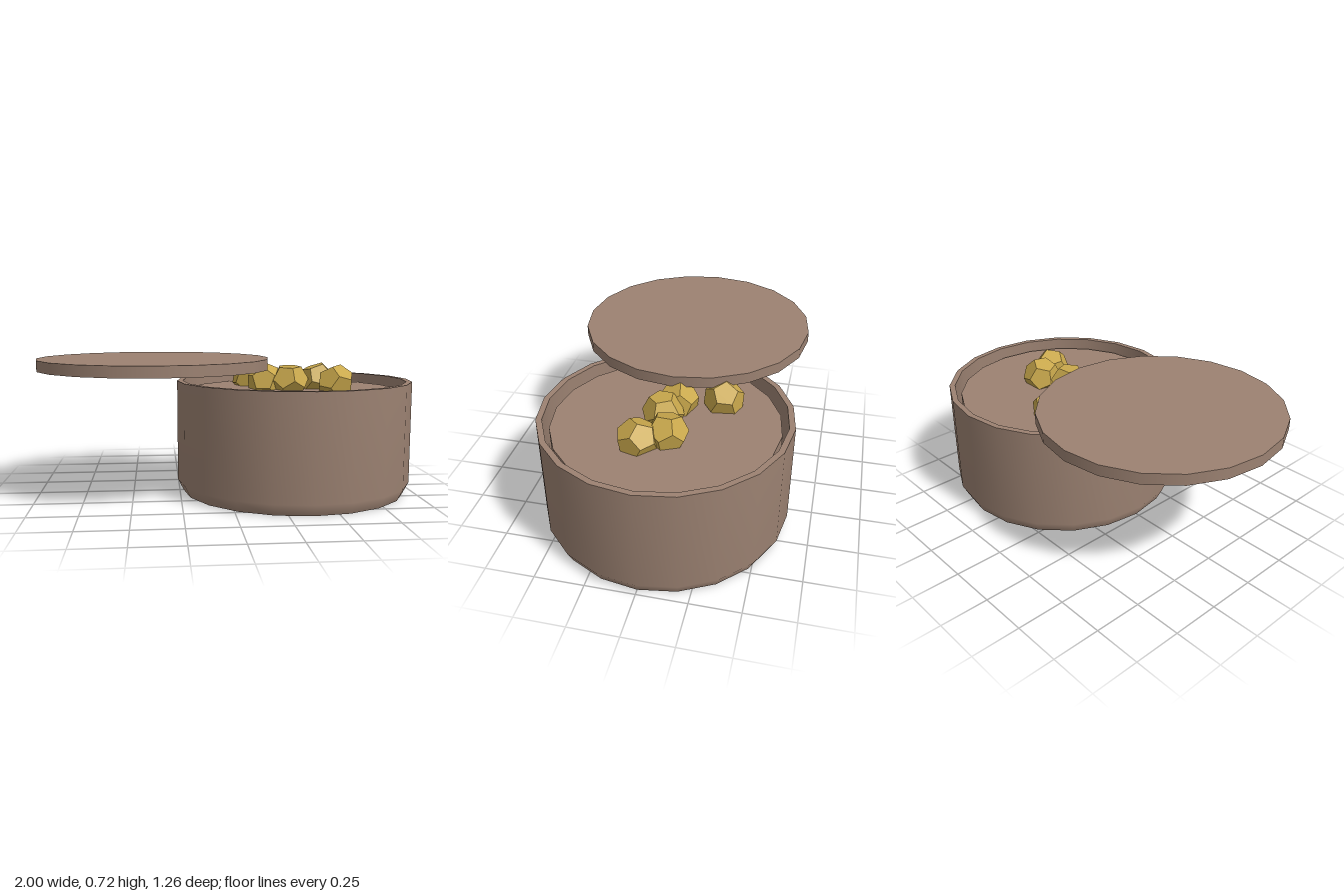
import * as THREE from 'three';

const SIDES = 20;

export function createModel() {
  const model = new THREE.Group();
  const clay = new THREE.MeshStandardMaterial({ color: 0x9c8272 });
  clay.name = 'brown clay';
  const gold = new THREE.MeshStandardMaterial({ color: 0xc9a84c, flatShading: true });
  gold.name = 'gold';

  function add(parent, name, geometry, material, x = 0, y = 0, z = 0) {
    const mesh = new THREE.Mesh(geometry, material);
    mesh.name = name;
    mesh.position.set(x, y, z);
    parent.add(mesh);
    return mesh;
  }
  const lathe = (...points) =>
    new THREE.LatheGeometry(points.map(([r, y]) => new THREE.Vector2(r, y)), SIDES);

  // Round pot: each lathe is one smooth band, with sharp edges between bands
  const pot = new THREE.Group();
  pot.name = 'pot';
  pot.position.x = 0.37;
  model.add(pot);
  add(pot, 'potBottom', lathe([0, 0], [0.6, 0]), clay);
  add(pot, 'potOuterWall', lathe([0.6, 0], [0.63, 0.06], [0.63, 0.6]), clay);
  add(pot, 'potRim', lathe([0.63, 0.6], [0.6, 0.6]), clay);
  add(pot, 'potInnerWall', lathe([0.6, 0.6], [0.6, 0.06]), clay);
  add(pot, 'potInnerFloor', lathe([0.6, 0.06], [0, 0.06]), clay);

  // Filling that carries the nuggets
  add(pot, 'filling', new THREE.CylinderGeometry(0.57, 0.57, 0.49, SIDES), clay, 0, 0.305, 0);

  // Lid slid off to one side
  add(model, 'lid', new THREE.CylinderGeometry(0.615, 0.615, 0.057, SIDES), clay, -0.385, 0.694, 0);

  // Nuggets: x, y, z and turn of each
  const nuggets = new THREE.Group();
  nuggets.name = 'nuggets';
  model.add(nuggets);
  [
    [0.515, 0.59, -0.04, 0.5, 0.3, 0.2],
    [0.585, 0.585, 0.085, 1.1, 0.9, 0.4],
    [0.345, 0.59, 0.02, 0.2, 1.7, 0.9],
    [0.225, 0.585, -0.03, 0.8, 2.4, 0.1],
    [0.165, 0.592, -0.25, 0.4, 0.6, 1.2],
  ].forEach(([x, y, z, a, b, c]) => {
    add(nuggets, 'nugget', new THREE.DodecahedronGeometry(0.105), gold, x, y, z).rotation.set(a, b, c);
  });

  return model;
}
